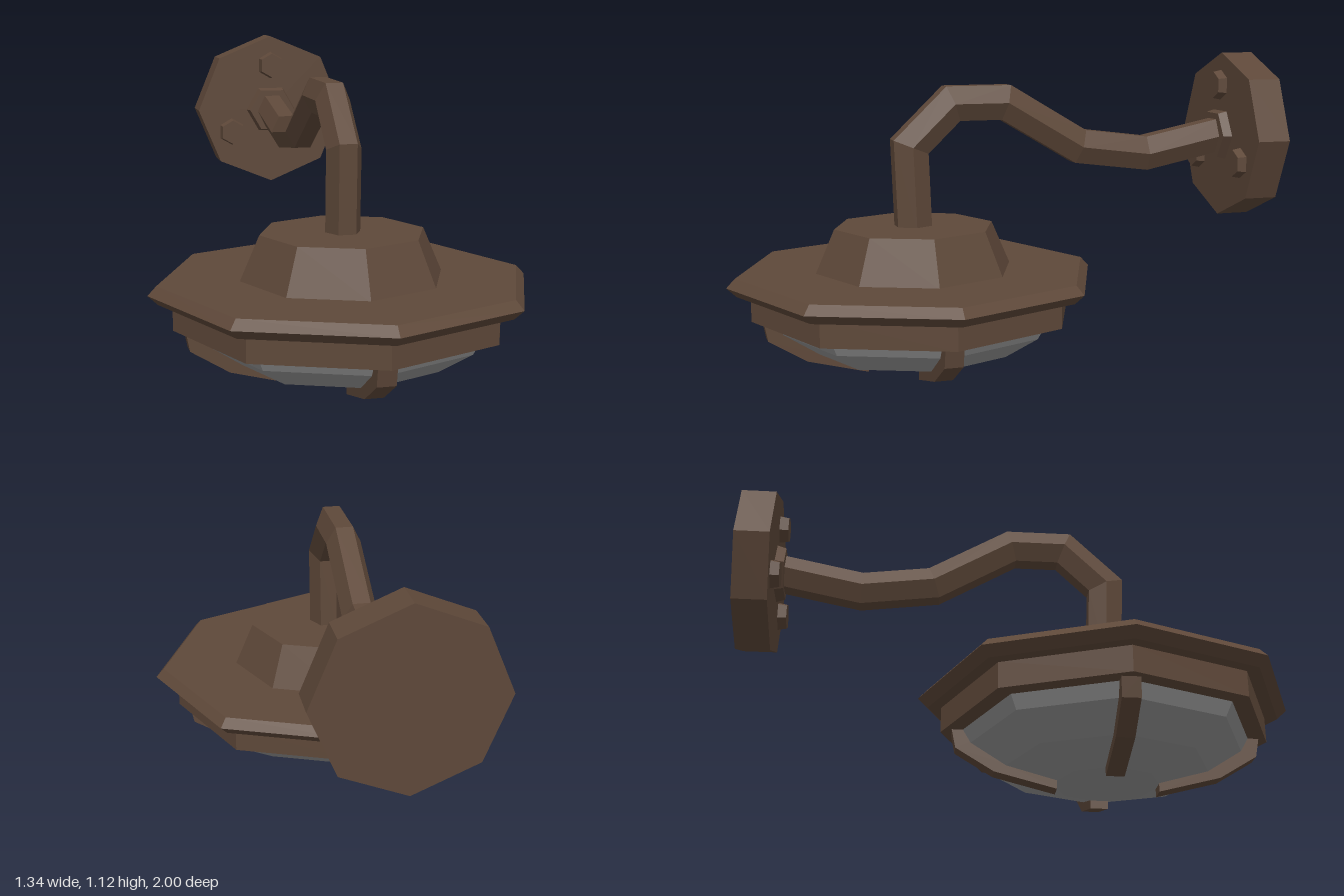
import * as THREE from 'three';

const bronze = new THREE.MeshStandardMaterial({ color: 0x5e4839, flatShading: true });
bronze.name = 'bronze';
const glass = new THREE.MeshStandardMaterial({ color: 0x939393, flatShading: true });
glass.name = 'greyGlass';

function add(parent, name, geometry, material, x = 0, y = 0, z = 0) {
  const mesh = new THREE.Mesh(geometry, material);
  mesh.name = name;
  mesh.position.set(x, y, z);
  parent.add(mesh);
  return mesh;
}

// eight-sided turned part; profile of [radius, height] from bottom to top
const turned = (profile) =>
  new THREE.LatheGeometry(profile.map(([r, y]) => new THREE.Vector2(r, y)), 8);

// prism whose axis points along +z
const disc = (front, back, depth, sides, turn = 0) =>
  new THREE.CylinderGeometry(front, back, depth, sides, 1, false, turn).rotateX(Math.PI / 2);

// hexagonal pipe with mitred bends along a path of [z, y]
function pipe(path, radius, halfHeight) {
  const pts = path.map(([z, y]) => new THREE.Vector2(z, y));
  const pos = [];
  const index = [];
  pts.forEach((p, i) => {
    const a = p.clone().sub(pts[Math.max(i - 1, 0)]).normalize();
    const b = pts[Math.min(i + 1, pts.length - 1)].clone().sub(p).normalize();
    const t = a.clone().add(b).normalize();
    const miter = 1 / t.dot(i === 0 ? b : a);
    for (let k = 0; k < 6; k++) {
      const ang = (k * Math.PI) / 3;
      const s = (Math.sin(ang) / Math.sin(Math.PI / 3)) * halfHeight * miter;
      pos.push(Math.cos(ang) * radius, p.y + t.x * s, p.x - t.y * s);
    }
    if (i === 0) return;
    for (let k = 0; k < 6; k++) {
      const c = (i - 1) * 6 + k;
      const d = (i - 1) * 6 + ((k + 1) % 6);
      index.push(c, c + 6, d, d, c + 6, d + 6);
    }
  });
  const g = new THREE.BufferGeometry();
  g.setAttribute('position', new THREE.Float32BufferAttribute(pos, 3));
  g.setIndex(index);
  g.computeVertexNormals();
  return g;
}

export function createModel() {
  const model = new THREE.Group();
  model.name = 'wallLamp';

  // wall mount
  const mount = new THREE.Group();
  mount.name = 'wallMount';
  model.add(mount);
  add(mount, 'wallPlate', disc(0.31, 0.31, 0.125, 8), bronze, 0, 0.812, -0.9375);
  add(mount, 'armCollar', disc(0.095, 0.105, 0.035, 6, Math.PI / 6), bronze, 0, 0.812, -0.86);
  for (const [x, y] of [[-0.17, 0.72], [0.17, 0.72], [0, 1]]) {
    add(mount, 'bolt', disc(0.05, 0.057, 0.035, 6), bronze, x, y, -0.86);
  }

  // bent arm, from the wall to the lamp
  const armPath = [[-0.88, 0.816], [-0.56, 0.752], [-0.295, 0.786], [-0.008, 0.955],
    [0.19, 0.955], [0.345, 0.805], [0.333, 0.5]];
  const arm = pipe(armPath, 0.062, 0.062);
  // the path runs toward +z, so the walls wind outward
  arm.index.array.length && add(model, 'arm', arm, bronze).material;
  bronze.side = THREE.DoubleSide;

  // lamp head
  const head = new THREE.Group();
  head.name = 'lampHead';
  head.position.z = 0.33;
  model.add(head);
  add(head, 'cap', turned([[0.36, 0.36], [0.29, 0.52], [0, 0.52]]), bronze);
  add(head, 'rim', turned([[0.5, 0.3], [0.635, 0.3], [0.67, 0.333], [0.64, 0.365], [0, 0.365]]), bronze);
  add(head, 'skirt', turned([[0.5, 0.208], [0.587, 0.208], [0.587, 0.302]]), bronze);
  add(head, 'glassBowl',
    turned([[0, 0.02], [0.19, 0.03], [0.37, 0.08], [0.495, 0.16], [0.525, 0.212]]), glass);

  // four guard bars hugging the bowl
  const outline = [[0.55, 0.215], [0.535, 0.14], [0.4, 0.057], [0.18, 0], [0.18, 0.032],
    [0.36, 0.085], [0.48, 0.165], [0.5, 0.215]];
  const barShape = new THREE.Shape(outline.map(([r, y]) => new THREE.Vector2(r, y)));
  const barGeometry = new THREE.ExtrudeGeometry(barShape, { depth: 0.064, bevelEnabled: false });
  barGeometry.translate(0, 0, -0.032);
  for (let i = 0; i < 4; i++) {
    add(head, 'guardBar', barGeometry, bronze).rotation.y = (i * Math.PI) / 2;
  }
  return model;
}
